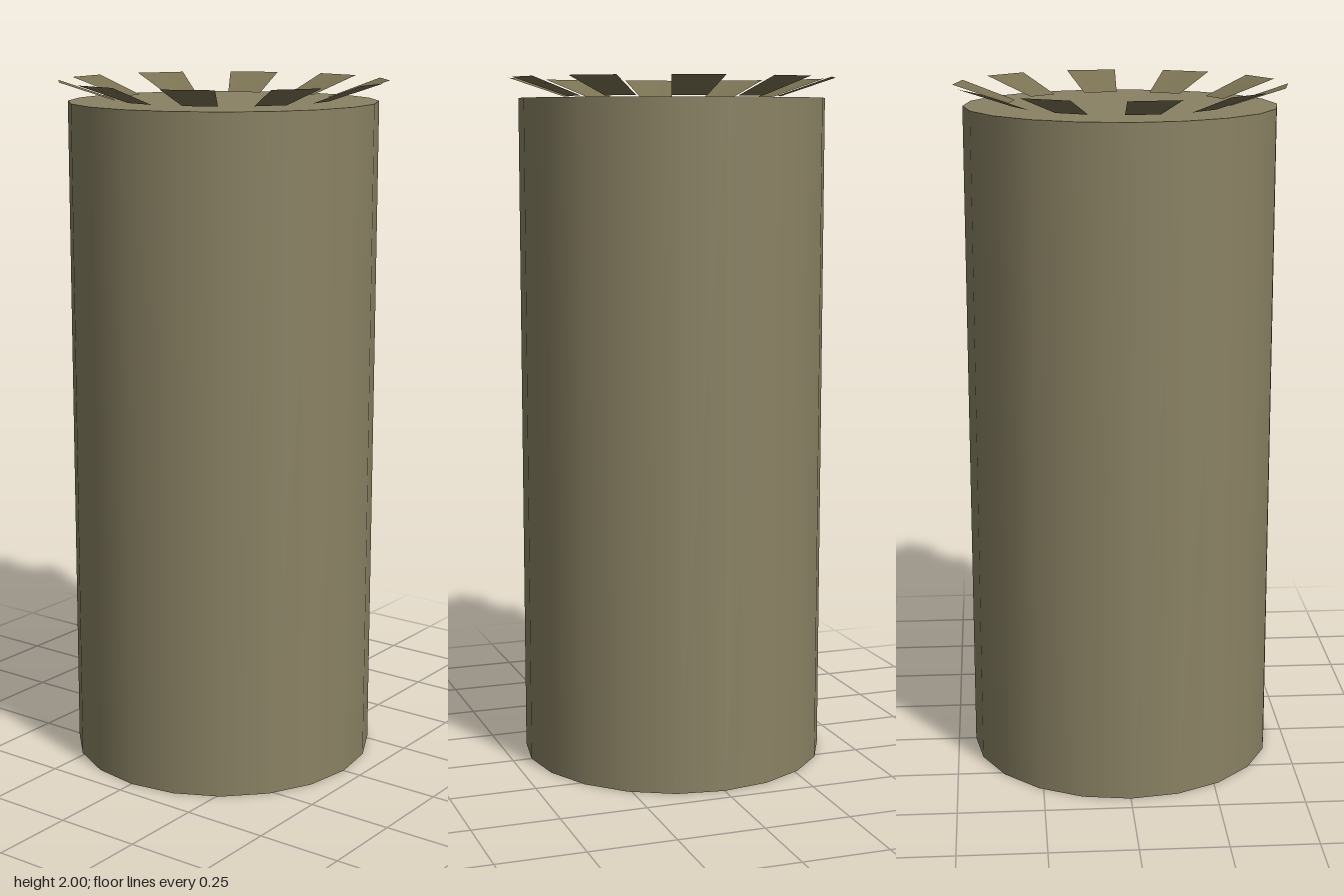
import * as THREE from 'three';

const SIDES = 20;
const BODY_TOP = 1.942;
const SLATS = 10;

export function createModel() {
  const model = new THREE.Group();
  const material = new THREE.MeshStandardMaterial({ color: 0x8a8264 });
  const slatMaterial = new THREE.MeshStandardMaterial({ color: 0x7c7354, side: THREE.DoubleSide });

  // Closed, smooth-sided column
  const column = new THREE.Mesh(
    new THREE.CylinderGeometry(0.448, 0.448, BODY_TOP, SIDES), material);
  column.name = 'column';
  column.position.y = BODY_TOP / 2;
  column.scale.z = 0.99;
  model.add(column);

  // Ring of thin slats flaring up and out over the rim: every other facet of a cone
  const inner = 0.317, outer = 0.476, bottom = 1.947, top = 2;
  const step = (2 * Math.PI) / SLATS;
  const start = THREE.MathUtils.degToRad(70.2);
  const rim = new THREE.Group();
  rim.name = 'rimSlats';
  for (let i = 0; i < SLATS; i++) {
    const slat = new THREE.Mesh(
      new THREE.CylinderGeometry(outer, inner, top - bottom, 1, 1, true, start + i * step, step / 2),
      slatMaterial);
    slat.name = `rimSlat${i + 1}`;
    slat.position.y = (top + bottom) / 2;
    rim.add(slat);
  }
  rim.scale.z = 0.993;
  model.add(rim);

  return model;
}
